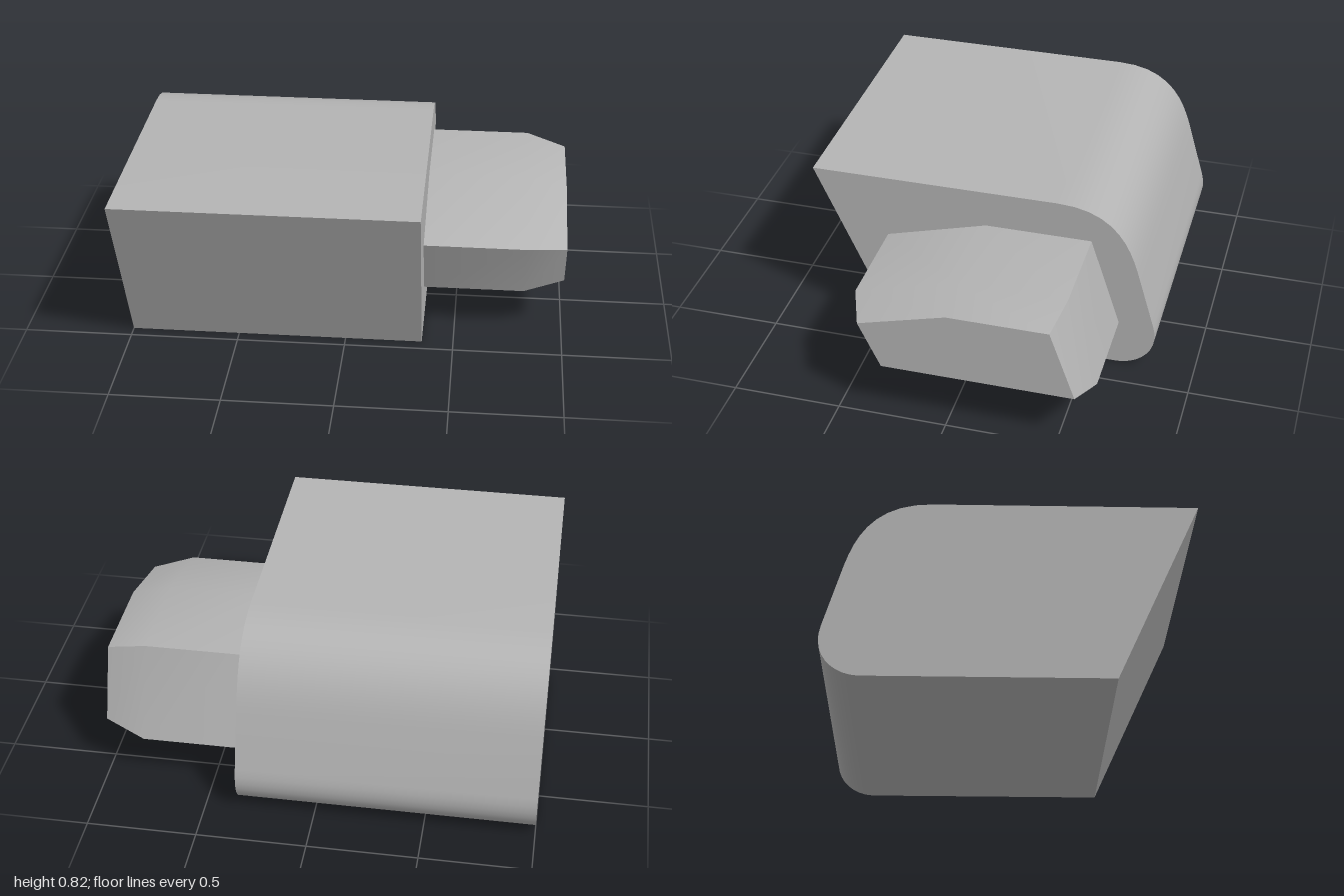
import * as THREE from 'three';
import { toCreasedNormals } from 'three/addons/utils/BufferGeometryUtils.js';

const CREASE = 0.5;

// Profiles are drawn as (-z, y) and run along x
function makeShape(points) {
  return new THREE.Shape(points.map(([z, y]) => new THREE.Vector2(-z, y)));
}

function extrudeAlongX(shape, from, to, steps = 1) {
  const geometry = new THREE.ExtrudeGeometry(shape, {
    depth: to - from, steps, bevelEnabled: false, curveSegments: 10,
  });
  geometry.rotateY(Math.PI / 2);
  geometry.translate(from, 0, 0);
  return geometry;
}

export function createModel() {
  const group = new THREE.Group();
  const grey = new THREE.MeshStandardMaterial({ color: 0xb4b4b4 });
  grey.name = 'plain grey';

  const add = (name, geometry) => {
    const mesh = new THREE.Mesh(toCreasedNormals(geometry, CREASE), grey);
    mesh.name = name;
    group.add(mesh);
  };

  // Main block: slanted front, rounded back
  const body = new THREE.Shape();
  body.moveTo(-0.44, 0);
  body.lineTo(0.64, 0);
  body.bezierCurveTo(0.75, 0.005, 0.84, 0.1, 0.8, 0.23);
  body.lineTo(0.73, 0.47);
  body.bezierCurveTo(0.685, 0.63, 0.62, 0.825, 0.34, 0.825);
  body.lineTo(-0.81, 0.825);
  body.closePath();
  add('body', extrudeAlongX(body, -1, 0.355));

  // Side lug: straight five-sided prism whose last section tapers to a smaller end
  const base = [[0.46, 0.52], [0.32, 0.225], [-0.64, 0.225], [-0.5, 0.65], [-0.01, 0.65]];
  const tip = [[0.39, 0.49], [0.29, 0.275], [-0.58, 0.275], [-0.465, 0.6], [-0.01, 0.6]];
  const lug = extrudeAlongX(makeShape(base), 0.355, 1, 2);
  const p = lug.attributes.position;
  for (let i = 0; i < p.count; i++) {
    const x = p.getX(i);
    if (x > 0.99) {
      const k = base.findIndex(([z, y]) => Math.hypot(z - p.getZ(i), y - p.getY(i)) < 0.001);
      p.setXYZ(i, 1, tip[k][1], tip[k][0]);
    } else if (x > 0.4) {
      p.setX(i, 0.815);
    }
  }
  add('sideLug', lug);

  return group;
}
